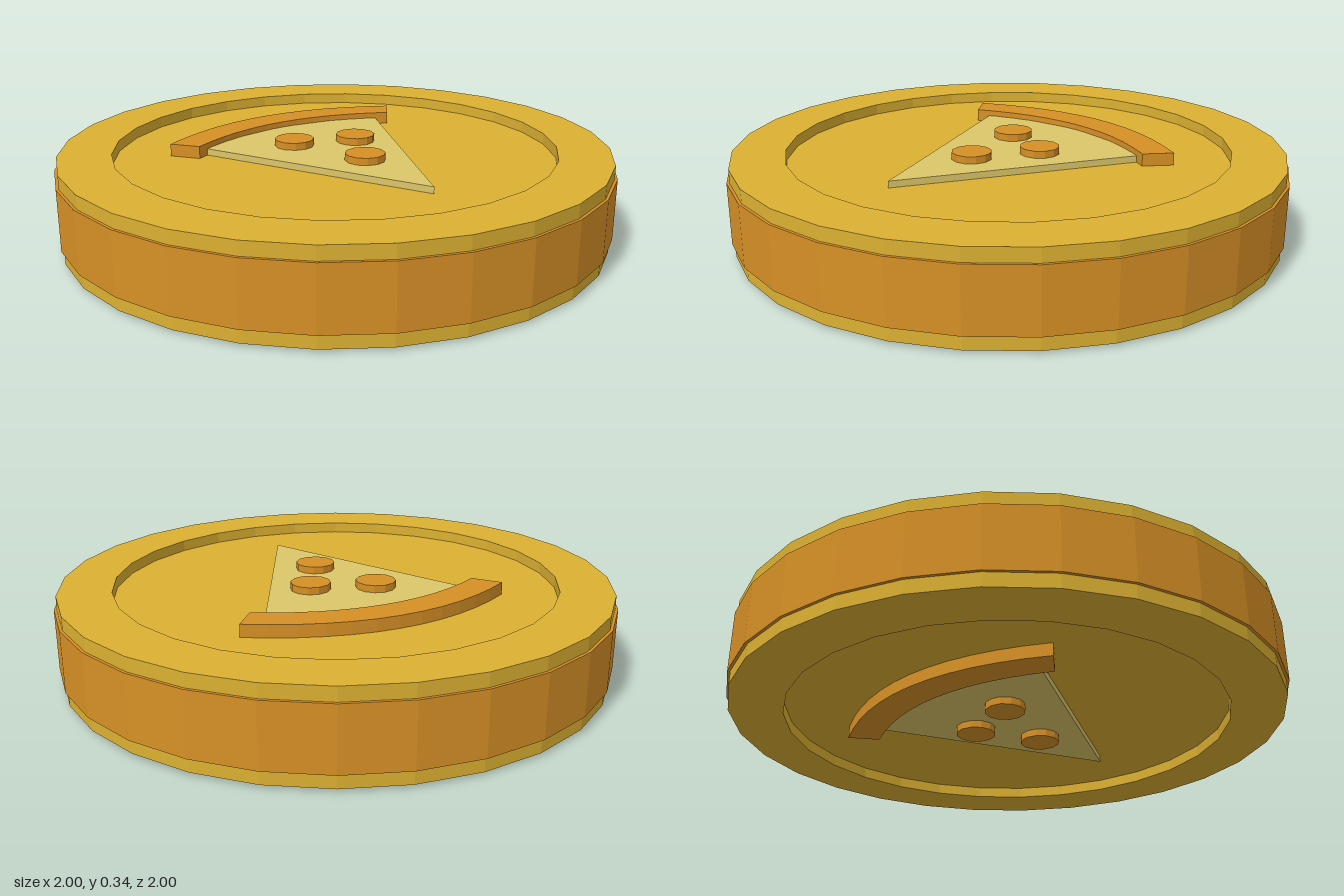
import * as THREE from 'three';

const MID = 0.168; // half height of the whole coin

export function createModel() {
  const group = new THREE.Group();
  const paint = (name, color) => new THREE.MeshStandardMaterial({ name, color, flatShading: true });
  const gold = paint('gold', 0xdcb032);
  const orange = paint('orange', 0xd79026);
  const cheese = paint('cheese', 0xdcc669);

  const add = (name, geometry, material, parent = group) => {
    const mesh = new THREE.Mesh(geometry, material);
    mesh.name = name;
    parent.add(mesh);
    return mesh;
  };
  const lathe = (pts) => new THREE.LatheGeometry(pts.map(([r, y]) => new THREE.Vector2(r, y + MID)), 28);
  // flat outline in x and -z, raised between two heights
  const slab = (shape, y0, y1) => new THREE.ExtrudeGeometry(shape, { depth: y1 - y0, bevelEnabled: false, curveSegments: 12 })
    .rotateX(-Math.PI / 2).translate(0, y0 + MID, 0);

  // Coin body with a round recess on both faces
  add('coinBody', lathe([
    [0, -0.118], [0.8, -0.118], [0.8, -0.158], [0.99, -0.158],
    [0.99, 0.158], [0.8, 0.158], [0.8, 0.118], [0, 0.118],
  ]), gold);

  // Band around the edge
  add('edgeBand', lathe([[0.98, -0.11], [1, -0.11], [1, 0.11], [0.98, 0.11]]), orange);

  // Outlines of the slice and its crust
  const slice = new THREE.Shape();
  slice.moveTo(0, -0.55);
  slice.lineTo(0.39, 0.27);
  slice.lineTo(0.3, 0.32);
  slice.lineTo(0, 0.365);
  slice.lineTo(-0.3, 0.32);
  slice.lineTo(-0.39, 0.27);
  slice.closePath();

  const crust = new THREE.Shape();
  crust.moveTo(-0.43, 0.24);
  crust.quadraticCurveTo(0, 0.48, 0.43, 0.24);
  crust.lineTo(0.5, 0.33);
  crust.quadraticCurveTo(0, 0.63, -0.5, 0.33);
  crust.closePath();

  // The same relief on the top and the bottom face
  for (const side of [1, -1]) {
    const relief = new THREE.Group();
    relief.name = side > 0 ? 'topRelief' : 'bottomRelief';
    group.add(relief);
    const raised = (shape, from, to) => side > 0 ? slab(shape, from, to) : slab(shape, -to, -from);
    add('pizzaSlice', raised(slice, 0.11, 0.142), cheese, relief);
    add('crust', raised(crust, 0.11, 0.163), orange, relief);
    for (const [x, z] of [[-0.1, -0.12], [0.12, -0.04], [0, 0.18]]) {
      const topping = add('pepperoni', new THREE.CylinderGeometry(0.072, 0.072, 0.032, 12), orange, relief);
      topping.position.set(x, MID + side * 0.152, z);
    }
  }
  return group;
}
